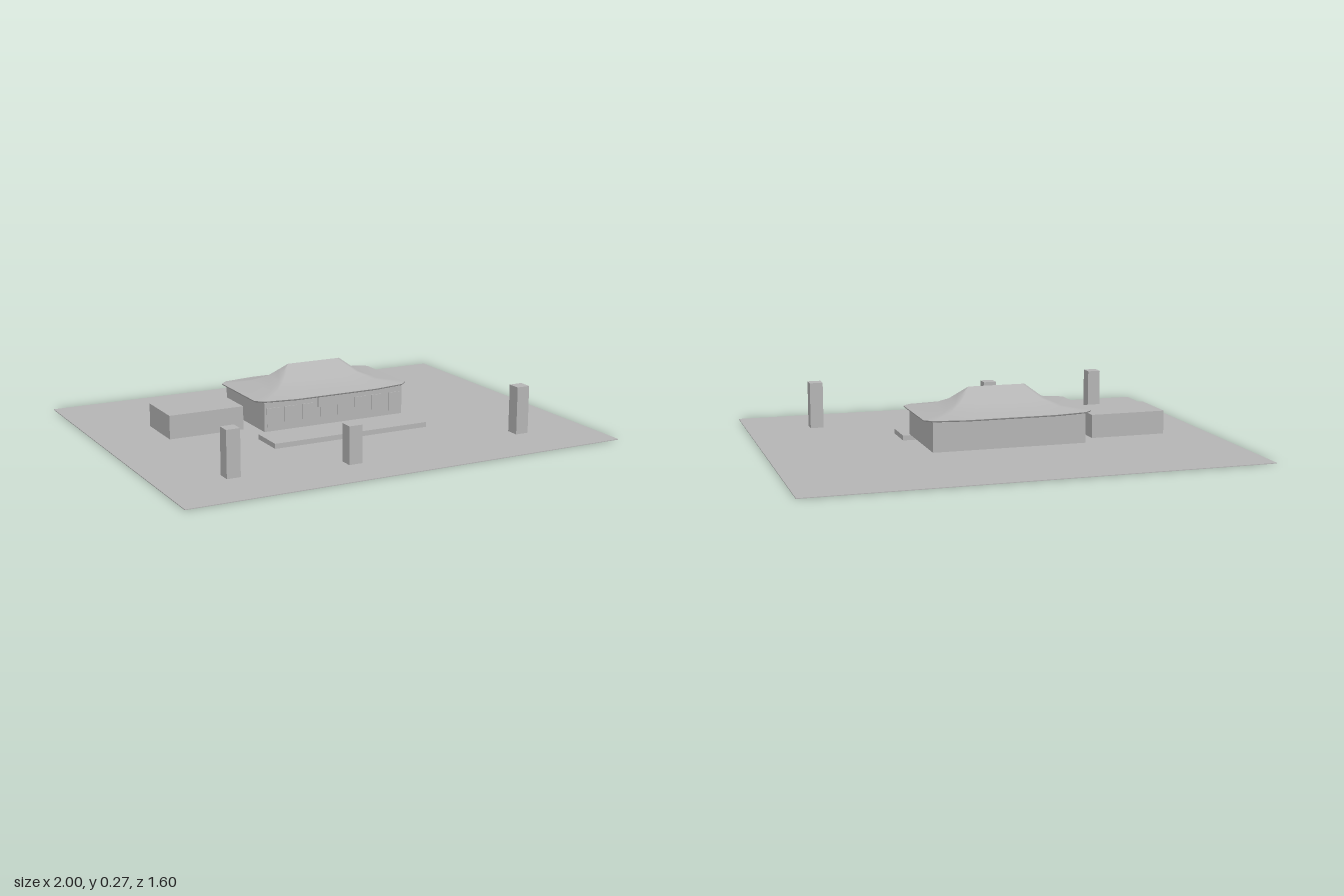
import * as THREE from 'three';

export function createModel() {
  const model = new THREE.Group();
  model.name = 'courtyardHall';
  const stone = new THREE.MeshStandardMaterial({ color: 0xb4b4b4 });
  stone.name = 'plain grey';

  // Box given by its limits on each axis
  function block(name, x0, x1, y0, y1, z0, z1, parent = model) {
    const mesh = new THREE.Mesh(new THREE.BoxGeometry(x1 - x0, y1 - y0, z1 - z0), stone);
    mesh.position.set((x0 + x1) / 2, (y0 + y1) / 2, (z0 + z1) / 2);
    mesh.name = name;
    parent.add(mesh);
    return mesh;
  }

  // Ground, terrace and buildings
  block('ground', -1, 1, 0, 0.003, -0.8, 0.8);
  block('terrace', -0.37, 0.37, 0, 0.025, 0.087, 0.253);
  block('hallBody', -0.34, 0.34, 0.03, 0.157, -0.313, 0.086);
  block('sideBuilding', -0.742, -0.402, 0.03, 0.133, -0.23, 0.003);

  // Free-standing pillars: x, z, height
  for (const [x, z, h] of [[-0.687, 0.509, 0.203], [0.682, 0.509, 0.213], [-0.174, 0.568, 0.165]]) {
    block('pillar', x - 0.03, x + 0.03, 0, h, z - 0.03, z + 0.03);
  }

  // Row of panels along the front wall, with a board over the entrance
  const facade = new THREE.Group();
  facade.name = 'facade';
  model.add(facade);
  for (const side of [-1, 1]) {
    for (const cx of [0.042, 0.128, 0.215, 0.3]) {
      const x = side * cx;
      const low = cx > 0.25 ? 0.05 : 0.065;
      block('windowPanel', x - 0.029, x + 0.029, low, 0.133, 0.086, 0.09, facade);
    }
  }
  block('entranceBoard', -0.085, 0.085, 0.112, 0.16, 0.086, 0.095, facade);

  // Concave hipped roof: rings of half width, half depth and height, ridge to soffit
  const outline = [[0.52, 1], [0.91, 0.9], [1, 0.76]];
  const flip = (sx, sz) => outline.map(([x, z]) => [x * sx, z * sz]);
  const loop = [
    ...flip(1, 1), ...flip(1, -1).reverse(), ...flip(-1, -1), ...flip(-1, 1).reverse(),
  ];
  function roofSkin(name, rings) {
    const positions = [], index = [], n = loop.length;
    for (const [hx, hz, y] of rings) {
      for (const [x, z] of loop) positions.push(x * hx, y, z * hz - 0.115);
    }
    for (let r = 0; r < rings.length - 1; r++) {
      for (let i = 0; i < n; i++) {
        const a = r * n + i, d = r * n + (i + 1) % n;
        index.push(a, a + n, d + n, a, d + n, d);
      }
    }
    const geometry = new THREE.BufferGeometry();
    geometry.setAttribute('position', new THREE.Float32BufferAttribute(positions, 3));
    geometry.setIndex(index);
    geometry.computeVertexNormals();
    const mesh = new THREE.Mesh(geometry, stone);
    mesh.name = name;
    model.add(mesh);
  }
  roofSkin('roof', [
    [0.128, 0, 0.267], [0.165, 0.036, 0.238], [0.2, 0.073, 0.21],
    [0.265, 0.14, 0.182], [0.374, 0.228, 0.166],
  ]);
  roofSkin('eaves', [[0.374, 0.228, 0.166], [0.372, 0.226, 0.16], [0.29, 0.17, 0.156]]);

  return model;
}
